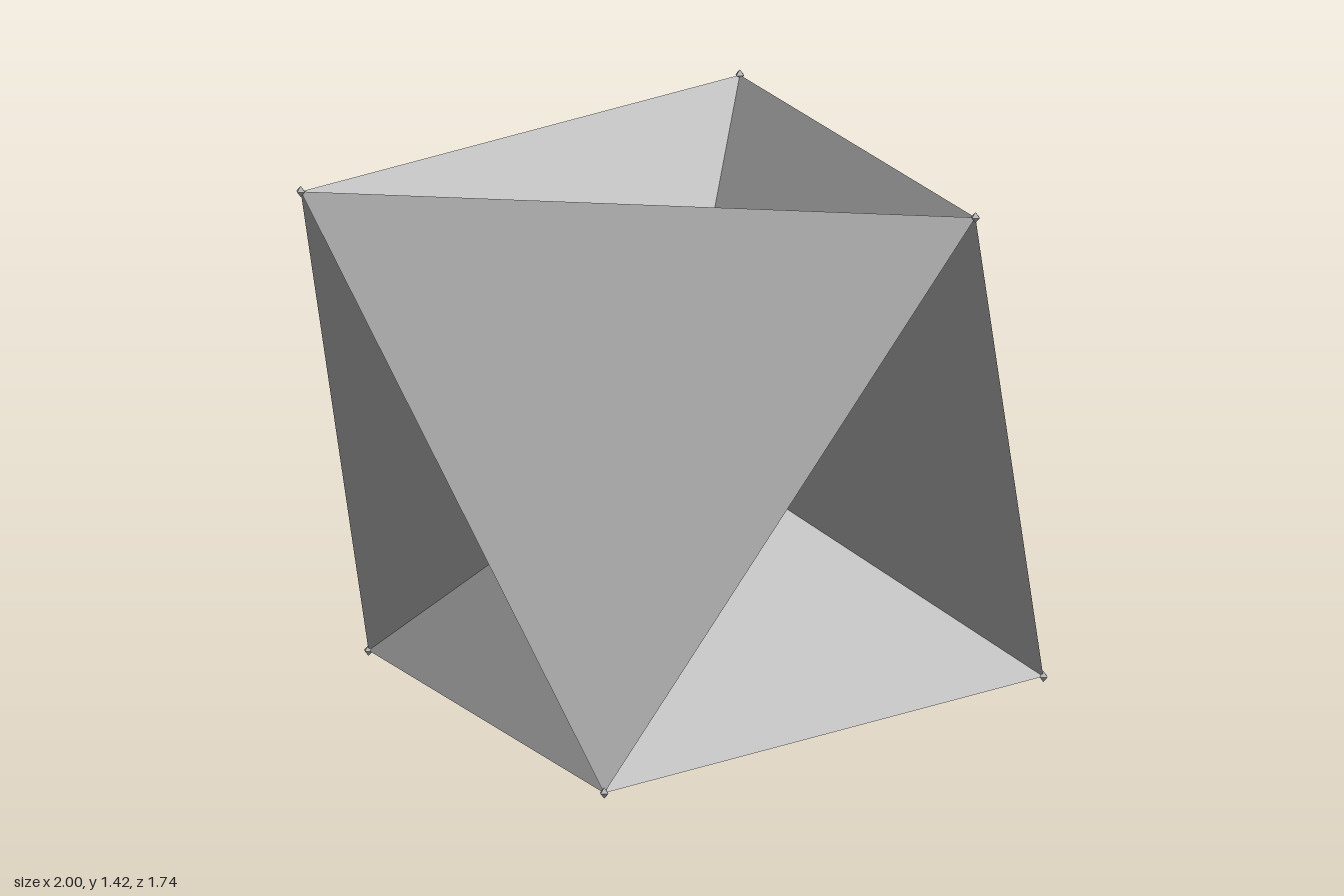
import * as THREE from 'three';

export function createModel() {
  const model = new THREE.Group();
  model.name = 'facetedSolid';
  const grey = new THREE.MeshStandardMaterial({ color: 0xc0c0c0, side: THREE.DoubleSide, flatShading: true });
  grey.name = 'light grey';

  // Octahedron corners: a top and a bottom ring, each bottom corner opposite a top one
  const R = 0.986, centre = 0.712, half = R / Math.SQRT2;
  const top = [], bottom = [];
  for (let i = 0; i < 3; i++) {
    const a = (i * Math.PI * 2) / 3;
    const x = R * Math.cos(a), z = R * Math.sin(a);
    top.push(new THREE.Vector3(x, centre + half, z));
    bottom.push(new THREE.Vector3(-x, centre - half, -z));
  }

  // Flat convex face as a triangle fan
  function addFace(name, corners) {
    const points = [];
    for (let i = 1; i < corners.length - 1; i++) points.push(corners[0], corners[i], corners[i + 1]);
    const geometry = new THREE.BufferGeometry().setFromPoints(points);
    geometry.computeVertexNormals();
    const mesh = new THREE.Mesh(geometry, grey);
    mesh.name = name;
    model.add(mesh);
  }

  // Base triangle
  addFace('baseTriangle', bottom);

  for (let i = 0; i < 3; i++) {
    const j = (i + 1) % 3, k = (i + 2) % 3;
    // Outer triangle, hanging from a top edge to one bottom corner
    addFace('sideTriangle', [top[j], top[i], bottom[k]]);
    // Square through the centre, forming the walls of the pits
    addFace('innerSquare', [top[i], top[j], bottom[i], bottom[j]]);
  }

  // Tiny tips at the corners
  for (const corner of [...top, ...bottom]) {
    const tip = new THREE.Mesh(new THREE.OctahedronGeometry(0.014), grey);
    tip.name = 'cornerTip';
    tip.position.copy(corner);
    model.add(tip);
  }
  return model;
}
